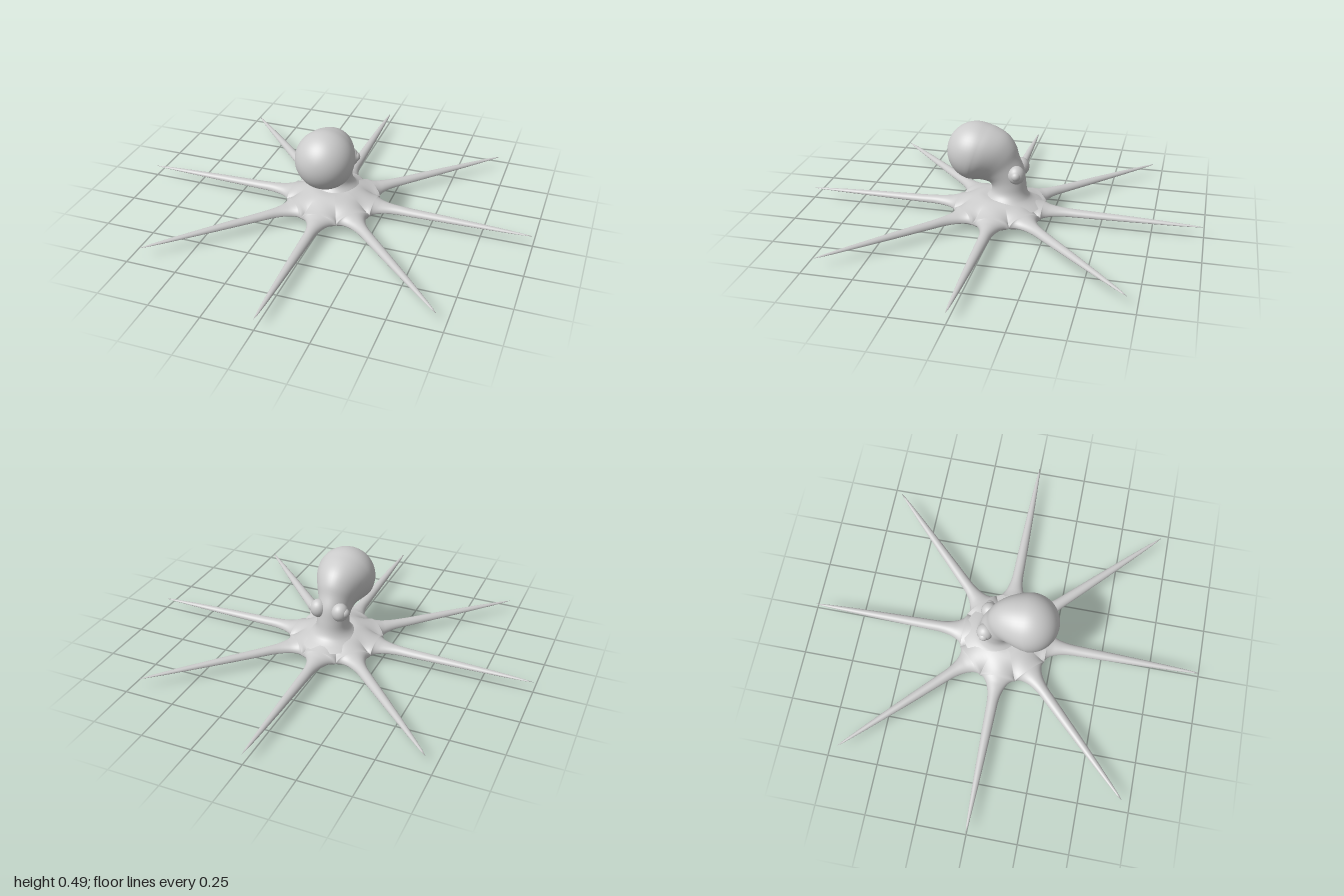
import * as THREE from 'three';
import { mergeGeometries, mergeVertices } from 'three/addons/utils/BufferGeometryUtils.js';

const material = new THREE.MeshStandardMaterial({ color: 0xcccccc });

// Surface from a grid of points: point(i, j) returns [x, y, z]
function grid(rows, cols, point) {
  const pos = [], idx = [];
  for (let i = 0; i <= rows; i++)
    for (let j = 0; j <= cols; j++) {
      pos.push(...point(i, j));
      if (i < rows && j < cols) {
        const a = i * (cols + 1) + j, c = a + cols + 1;
        idx.push(a, a + 1, c, a + 1, c + 1, c);
      }
    }
  const g = new THREE.BufferGeometry();
  g.setAttribute('position', new THREE.Float32BufferAttribute(pos, 3));
  g.setIndex(idx);
  return g;
}

function smooth(g) {
  const merged = mergeVertices(g, 1e-5);
  merged.computeVertexNormals();
  return merged;
}

function named(name, geometry) {
  const m = new THREE.Mesh(geometry, material);
  m.name = name;
  return m;
}

// Linear lookup in a list of [x, y] pairs
function lookup(table, x) {
  for (let i = 1; i < table.length; i++) {
    const [x0, y0] = table[i - 1], [x1, y1] = table[i];
    if (x <= x1) return y0 + (y1 - y0) * (x - x0) / (x1 - x0);
  }
  return table[table.length - 1][1];
}

// Eight wedges, each running from the centre of the web to the tip of an arm
const MID = 0.055, NOTCH = 0.217, ARMS = 8, WEDGE = Math.tan(Math.PI / ARMS);
const TOP = [[0, 0.13], [0.1, 0.13], [0.15, 0.115], [0.2, 0.1], [0.25, 0.089], [0.3, 0.084],
  [0.4, 0.079], [0.6, 0.074], [0.8, 0.067], [0.93, 0.061], [1, MID]];
const BOTTOM = [[0, 0], [0.05, 0.003], [0.1, 0.011], [0.15, 0.02], [0.2, 0.031], [0.25, 0.039],
  [0.3, 0.043], [0.6, 0.046], [0.9, 0.051], [1, MID]];

function halfWidth(s) {
  if (s <= NOTCH) return s * WEDGE;
  const taper = 0.036 * Math.pow(Math.max(0, 1 - s), 0.6);
  const fillet = NOTCH * WEDGE - 0.036 * Math.pow(1 - NOTCH, 0.6);
  const u = Math.min(1, (s - NOTCH) / 0.14);
  return taper + fillet * (1 - Math.sqrt(1 - (1 - u) ** 2));
}

function webAndArms() {
  const inner = 14, outer = 40, cols = 16, sheets = [];
  for (const side of [1, -1]) {
    const sheet = grid(inner + outer, cols, (i, j) => {
      const s = i <= inner ? NOTCH * i / inner
        : NOTCH + (1 - NOTCH) * Math.pow((i - inner) / outer, 1.8);
      const t = side * Math.sin((j / cols - 0.5) * Math.PI);
      const z = t * halfWidth(s);
      const edge = THREE.MathUtils.smoothstep(s, 0.12, NOTCH);
      const round = Math.sqrt(Math.max(0, 1 - t * t * edge));
      const height = lookup(side > 0 ? TOP : BOTTOM, Math.max(s, Math.min(Math.hypot(s, z), 1)));
      return [s, MID + (height - MID) * round, z];
    });
    for (let k = 0; k < ARMS; k++) sheets.push(sheet.clone().rotateY(k * 2 * Math.PI / ARMS));
  }
  return smooth(mergeGeometries(sheets));
}

// Bent head: each section is [z, y] underneath, [z, y] behind, half-width
function headAndMantle() {
  const sections = [
    [0.14, 0.09, -0.21, 0.09, 0.17],
    [0.075, 0.122, -0.15, 0.125, 0.108],
    [0.046, 0.15, -0.133, 0.158, 0.084],
    [0.043, 0.182, -0.126, 0.21, 0.078],
    [0.058, 0.199, -0.117, 0.275, 0.08],
    [0.085, 0.206, -0.092, 0.335, 0.088],
    [0.107, 0.207, -0.074, 0.39, 0.102],
    [0.125, 0.207, -0.035, 0.44, 0.12],
    [0.142, 0.208, 0.025, 0.473, 0.137],
    [0.158, 0.21, 0.082, 0.49, 0.145],
  ];
  const under = new THREE.CatmullRomCurve3(sections.map(s => new THREE.Vector3(0, s[1], s[0])));
  const behind = new THREE.CatmullRomCurve3(sections.map(s => new THREE.Vector3(s[4], s[3], s[2])));
  const rings = [];
  for (let i = 0; i <= 36; i++) rings.push([under.getPoint(i / 36), behind.getPoint(i / 36)]);
  // Round end of the mantle
  const R = 0.145, tilt = Math.PI / 12, caps = 16;
  for (let i = 1; i <= caps; i++) {
    const a = (1 - i / caps) * Math.PI / 2;
    const at = (angle, x) => new THREE.Vector3(x, 0.35 + R * Math.sin(angle), 0.12 + R * Math.cos(angle));
    rings.push([at(tilt - a, 0), at(tilt + a, R * Math.sin(a))]);
  }
  const cols = 48;
  return smooth(grid(rings.length - 1, cols, (i, j) => {
    const [u, b] = rings[i], a = (j % cols) / cols * 2 * Math.PI, f = (1 + Math.cos(a)) / 2;
    return [b.x * Math.sin(a), b.y + (u.y - b.y) * f, b.z + (u.z - b.z) * f];
  }));
}

export function createModel() {
  const model = new THREE.Group();
  model.name = 'octopus';
  model.add(named('webAndArms', webAndArms()), named('headAndMantle', headAndMantle()));

  // Eyes on soft bumps at the back of the head
  for (const [side, x] of [['left', 1], ['right', -1]]) {
    const bump = named(side + 'EyeBump', new THREE.SphereGeometry(0.042, 24, 16));
    bump.position.set(x * 0.056, 0.262, -0.09);
    bump.scale.set(1, 1.1, 1);
    const eye = named(side + 'Eye', new THREE.SphereGeometry(0.024, 20, 14));
    eye.position.set(x * 0.082, 0.265, -0.093);
    model.add(bump, eye);
  }
  return model;
}
